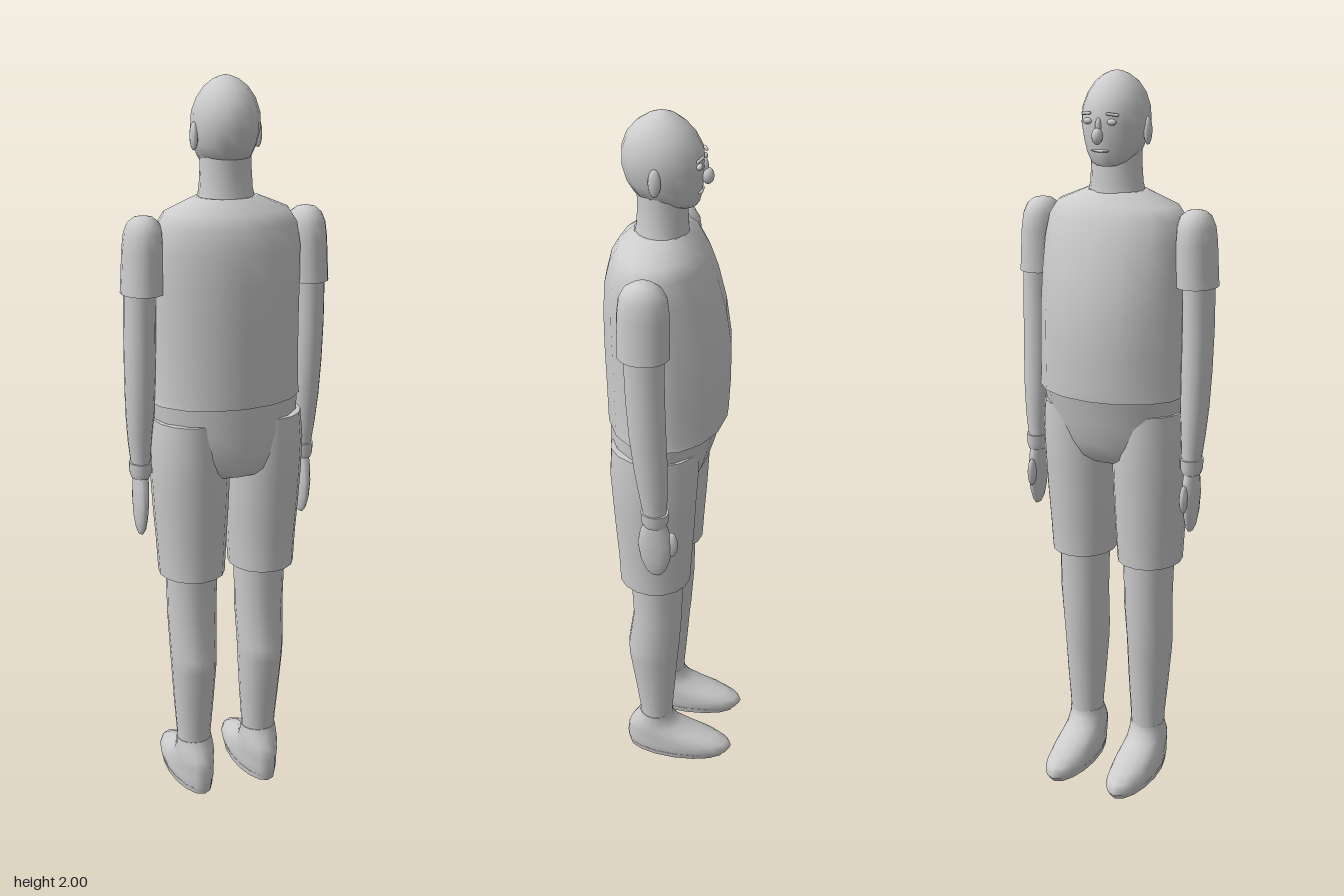
import * as THREE from 'three';

const grey = new THREE.MeshStandardMaterial({ color: 0xcccccc });
grey.name = 'light grey';

// Smooth closed skin through oval rings [y, xMin, xMax, zMin, zMax], listed upward
function loft(rings, sides = 16) {
  const pos = [], index = [];
  const addRing = ([y, x0, x1, z0, z1]) => {
    for (let j = 0; j < sides; j++) {
      const t = (j / sides) * Math.PI * 2;
      pos.push((x0 + x1) / 2 + ((x1 - x0) / 2) * Math.sin(t), y,
        (z0 + z1) / 2 + ((z1 - z0) / 2) * Math.cos(t));
    }
  };
  rings.forEach(addRing);
  for (let i = 0; i < rings.length - 1; i++) {
    for (let j = 0; j < sides; j++) {
      const a = i * sides + j, b = i * sides + (j + 1) % sides;
      index.push(a, b, a + sides, b, b + sides, a + sides);
    }
  }
  // flat end caps with their own vertices
  [rings[0], rings[rings.length - 1]].forEach((r, end) => {
    const base = pos.length / 3;
    addRing(r);
    for (let j = 1; j < sides - 1; j++) {
      if (end) index.push(base, base + j, base + j + 1);
      else index.push(base, base + j + 1, base + j);
    }
  });
  const g = new THREE.BufferGeometry();
  g.setAttribute('position', new THREE.Float32BufferAttribute(pos, 3));
  g.setIndex(index);
  g.computeVertexNormals();
  return g;
}

export function createModel() {
  const model = new THREE.Group();
  const add = (name, geometry, x = 0, y = 0, z = 0) => {
    const m = new THREE.Mesh(geometry, grey);
    m.name = name;
    m.position.set(x, y, z);
    model.add(m);
    return m;
  };
  const ball = (name, x, y, z, rx, ry, rz) =>
    add(name, new THREE.SphereGeometry(1, 12, 8), x, y, z).scale.set(rx, ry, rz);
  // symmetric ring: [y, half width, zMin, zMax]
  const mid = (rows) => loft(rows.map(([y, h, a, b]) => [y, -h, h, a, b]));

  // trunk
  add('shirt', mid([
    [1.165, 0.212, -0.138, 0.178], [1.19, 0.208, -0.141, 0.18], [1.28, 0.206, -0.145, 0.182],
    [1.38, 0.205, -0.145, 0.185], [1.48, 0.204, -0.13, 0.185], [1.57, 0.202, -0.106, 0.18],
    [1.63, 0.193, -0.083, 0.165], [1.665, 0.17, -0.064, 0.145], [1.7, 0.085, -0.03, 0.105],
  ]));
  add('pelvis', mid([
    [0.965, 0.13, -0.045, 0.14], [0.985, 0.165, -0.068, 0.157], [1.03, 0.185, -0.088, 0.169],
    [1.09, 0.197, -0.106, 0.175], [1.17, 0.205, -0.125, 0.173],
  ]));

  // head
  add('neck', mid([
    [1.69, 0.077, -0.034, 0.105], [1.72, 0.07, -0.031, 0.1], [1.77, 0.067, -0.03, 0.097],
    [1.83, 0.066, -0.03, 0.1],
  ]));
  add('head', mid([
    [1.768, 0.03, -0.05, 0.02], [1.778, 0.05, -0.058, 0.06], [1.8, 0.068, -0.063, 0.105],
    [1.83, 0.079, -0.067, 0.123], [1.87, 0.087, -0.071, 0.135], [1.91, 0.085, -0.068, 0.134],
    [1.945, 0.073, -0.05, 0.121], [1.972, 0.055, -0.026, 0.098], [1.99, 0.033, 0, 0.07],
    [1.998, 0.014, 0.02, 0.048], [2, 0.003, 0.031, 0.037],
  ]));
  ball('nose', 0, 1.846, -0.077, 0.014, 0.021, 0.016);
  ball('noseBridge', 0, 1.87, -0.07, 0.008, 0.022, 0.009);
  ball('mouth', 0, 1.808, -0.061, 0.026, 0.004, 0.007);

  for (const s of [-1, 1]) {
    // ring bounds are given for the +x side and mirrored
    const side = (rows) => loft(rows.map(([y, a, b, c, d]) =>
      s > 0 ? [y, a, b, c, d] : [y, -b, -a, c, d]));

    // face details
    ball('ear', s * 0.087, 1.853, 0.037, 0.01, 0.036, 0.016);
    ball('eye', s * 0.034, 1.881, -0.063, 0.013, 0.008, 0.008);
    const brow = add('eyebrow', new THREE.CapsuleGeometry(0.004, 0.025, 3, 8), s * 0.037, 1.9, -0.065);
    brow.rotation.set(0, s * -0.35, Math.PI / 2 - s * 0.12);

    // arm
    add('sleeve', side([
      [1.465, 0.175, 0.287, -0.028, 0.105], [1.51, 0.175, 0.284, -0.028, 0.105],
      [1.58, 0.175, 0.28, -0.027, 0.104], [1.62, 0.177, 0.275, -0.022, 0.099],
      [1.645, 0.185, 0.265, -0.008, 0.086], [1.658, 0.2, 0.25, 0.012, 0.066],
      [1.662, 0.217, 0.233, 0.03, 0.048],
    ]));
    add('arm', side([
      [0.995, 0.21, 0.262, -0.018, 0.045], [1.06, 0.206, 0.27, -0.022, 0.055],
      [1.14, 0.2, 0.276, -0.022, 0.067], [1.24, 0.198, 0.279, -0.019, 0.078],
      [1.35, 0.197, 0.28, -0.016, 0.085], [1.5, 0.195, 0.278, -0.015, 0.09],
    ]));
    add('wrist', side([
      [0.955, 0.213, 0.261, -0.018, 0.044], [0.97, 0.207, 0.266, -0.023, 0.05],
      [0.998, 0.206, 0.267, -0.024, 0.051],
    ]));
    add('hand', side([
      [0.79, 0.232, 0.244, -0.003, 0.024], [0.805, 0.226, 0.25, -0.015, 0.038],
      [0.84, 0.222, 0.255, -0.027, 0.052], [0.89, 0.219, 0.257, -0.033, 0.06],
      [0.935, 0.217, 0.257, -0.026, 0.053], [0.965, 0.218, 0.256, -0.016, 0.042],
    ]));
    ball('thumb', s * 0.234, 0.893, -0.031, 0.011, 0.04, 0.017);

    // leg
    add('shortsLeg', side([
      [0.672, 0.012, 0.194, -0.058, 0.14], [0.76, 0.007, 0.199, -0.063, 0.143],
      [0.85, 0.002, 0.206, -0.069, 0.149], [0.95, -0.002, 0.212, -0.074, 0.155],
      [1.04, 0, 0.214, -0.08, 0.16], [1.12, 0.01, 0.207, -0.078, 0.155],
    ]));
    add('lowerLeg', side([
      [0.1, 0.052, 0.148, -0.006, 0.09], [0.17, 0.051, 0.149, -0.007, 0.091],
      [0.27, 0.044, 0.157, -0.015, 0.104], [0.38, 0.038, 0.164, -0.023, 0.12],
      [0.42, 0.037, 0.166, -0.027, 0.122], [0.54, 0.032, 0.17, -0.035, 0.105],
      [0.7, 0.03, 0.173, -0.038, 0.112],
    ]));

    // shoe, drawn out towards the toe
    add('shoe', side([
      [0.016, 0.042, 0.157, -0.183, 0.13], [0.03, 0.038, 0.16, -0.188, 0.132],
      [0.046, 0.039, 0.159, -0.175, 0.132], [0.062, 0.04, 0.158, -0.14, 0.13],
      [0.08, 0.042, 0.156, -0.087, 0.128], [0.1, 0.044, 0.154, -0.037, 0.121],
      [0.125, 0.046, 0.152, -0.01, 0.104], [0.15, 0.049, 0.15, -0.006, 0.092],
    ]));
    add('sole', side([
      [0, 0.043, 0.155, -0.17, 0.126], [0.017, 0.041, 0.158, -0.18, 0.13],
    ]));
  }
  return model;
}
